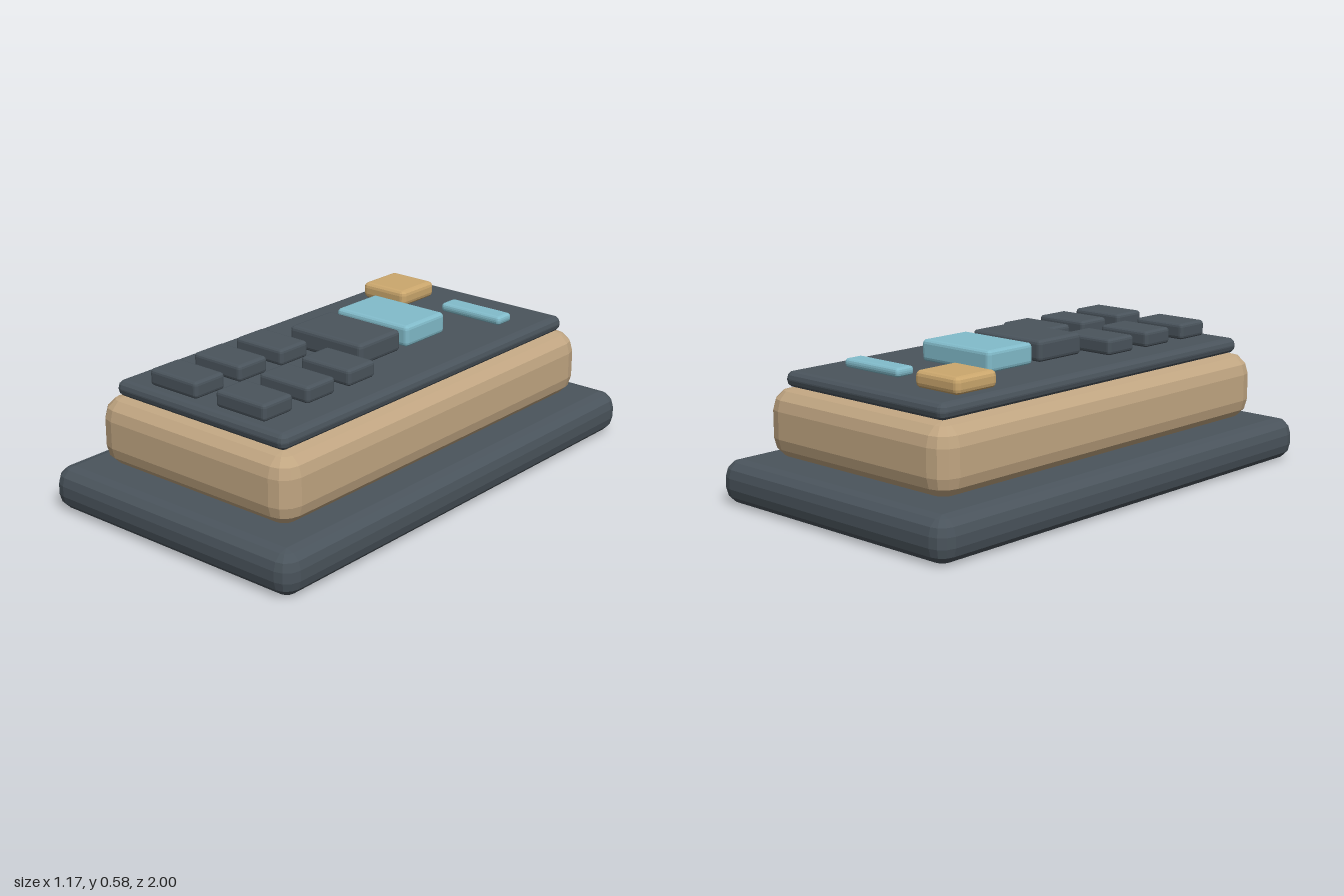
import * as THREE from 'three';
import { ConvexGeometry } from 'three/addons/geometries/ConvexGeometry.js';

const material = (name, color) => {
  const m = new THREE.MeshStandardMaterial({ color });
  m.name = name;
  return m;
};

// Box with faceted rounded edges: the hull of eight small sphere octants
function bevelBox(w, h, d, r, steps = 3) {
  const points = [];
  for (const sx of [-1, 1]) for (const sy of [-1, 1]) for (const sz of [-1, 1]) {
    for (let i = 0; i <= steps; i++) {
      const lat = (i / steps) * Math.PI / 2;
      const around = i === steps ? 0 : steps;
      for (let j = 0; j <= around; j++) {
        const lon = (j / steps) * Math.PI / 2;
        points.push(new THREE.Vector3(
          sx * (w / 2 - r + r * Math.cos(lat) * Math.cos(lon)),
          sy * (h / 2 - r + r * Math.sin(lat)),
          sz * (d / 2 - r + r * Math.cos(lat) * Math.sin(lon))));
      }
    }
  }
  return new ConvexGeometry(points);
}

export function createModel() {
  const slate = material('slate', 0x4a545c);
  const tan = material('tan', 0xc1a682);
  const amber = material('amber', 0xcba76d);
  const aqua = material('aqua', 0x82bccb);

  const model = new THREE.Group();
  model.name = 'keypadDevice';

  // Adds a bevelled block spanning y0 to y1, centred on x and z
  function block(name, mat, x, z, y0, y1, w, d, r) {
    const mesh = new THREE.Mesh(bevelBox(w, y1 - y0, d, r), mat);
    mesh.name = name;
    mesh.position.set(x, (y0 + y1) / 2, z);
    model.add(mesh);
  }

  // Stacked housing
  block('base', slate, 0, 0, 0, 0.166, 1.17, 2, 0.063);
  block('body', tan, 0, 0, 0.17, 0.434, 0.93, 1.75, 0.08);
  block('facePanel', slate, 0, 0, 0.434, 0.495, 0.82, 1.645, 0.028);

  // Controls at the far end
  block('powerButton', amber, -0.245, -0.593, 0.493, 0.557, 0.213, 0.202, 0.02);
  block('indicatorLight', aqua, 0.15, -0.593, 0.495, 0.53, 0.287, 0.085, 0.014);
  block('displayKey', aqua, 0, -0.24, 0.494, 0.577, 0.35, 0.235, 0.016);
  block('largeKey', slate, 0, 0.03, 0.494, 0.577, 0.35, 0.235, 0.016);

  // Two columns of three small keys
  for (const z of [0.26, 0.48, 0.7]) {
    for (const side of [-1, 1]) {
      block(side < 0 ? 'rightKey' : 'leftKey', slate, side * 0.163, z, 0.494, 0.557, 0.232, 0.148, 0.014);
    }
  }
  return model;
}
